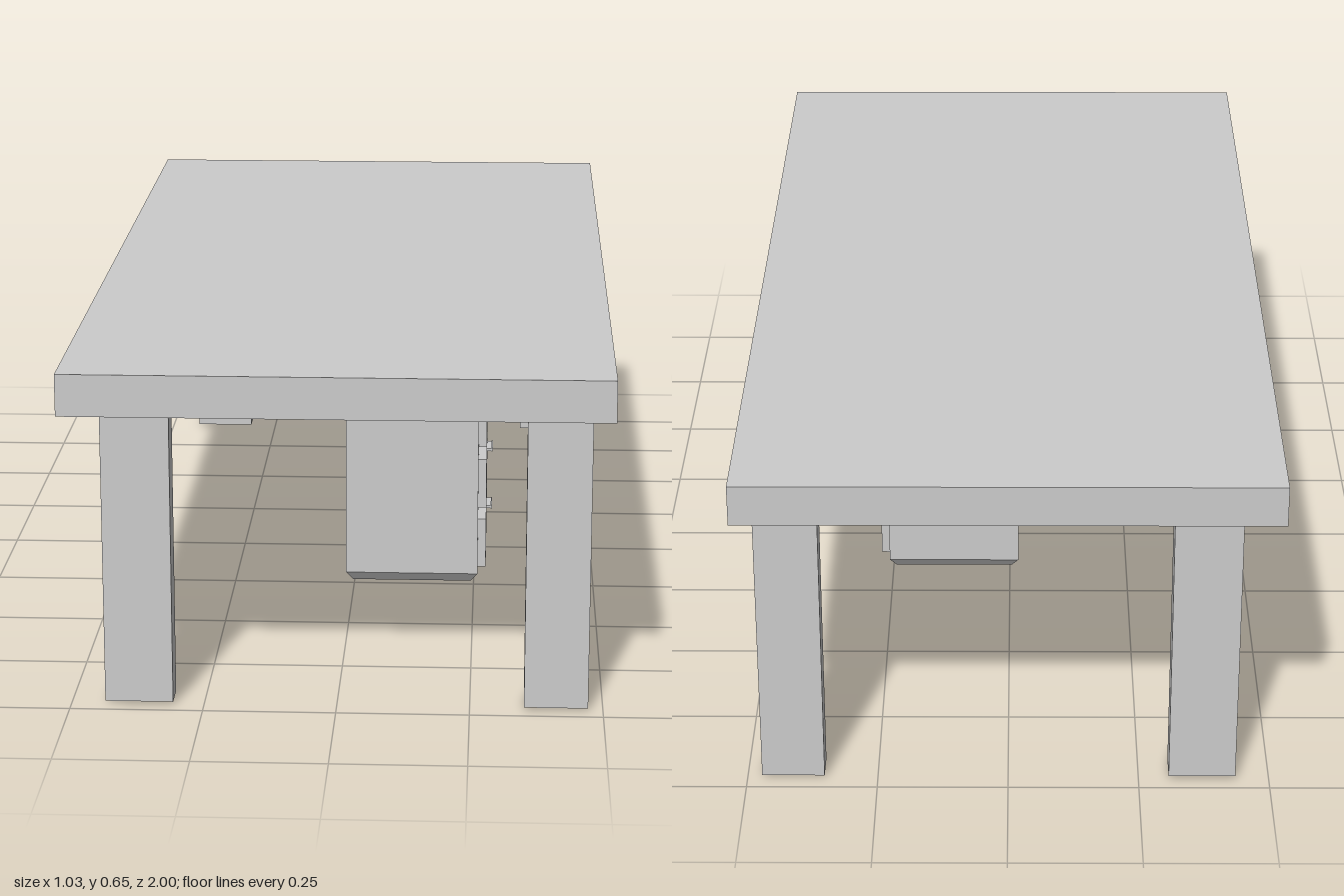
import * as THREE from 'three';

const material = new THREE.MeshStandardMaterial({ color: 0xcccccc, flatShading: true });

// Box given by its extents along each axis
function box(name, [x0, x1], [y0, y1], [z0, z1]) {
  const mesh = new THREE.Mesh(new THREE.BoxGeometry(x1 - x0, y1 - y0, z1 - z0), material);
  mesh.position.set((x0 + x1) / 2, (y0 + y1) / 2, (z0 + z1) / 2);
  mesh.name = name;
  return mesh;
}

export function createModel() {
  const desk = new THREE.Group();
  desk.name = 'desk';

  desk.add(box('tabletop', [-0.513, 0.513], [0.57, 0.65], [-1, 1]));

  // Four flat legs
  for (const x of [[-0.436, -0.308], [0.352, 0.472]]) {
    for (const z of [[0.915, 0.972], [-0.969, -0.91]]) {
      desk.add(box('leg', x, [0.006, 0.57], z));
    }
  }

  // Drawer cabinet, opening towards +x
  const cabinet = new THREE.Group();
  cabinet.name = 'drawerCabinet';
  cabinet.add(box('cabinetBody', [-0.018, 0.258], [0.02, 0.54], [-0.153, 0.242]));

  // Plinth tapering inwards to the floor
  const plinth = box('plinth', [-0.018, 0.258], [0, 0.02], [-0.153, 0.242]);
  const p = plinth.geometry.attributes.position;
  for (let i = 0; i < p.count; i++) {
    if (p.getY(i) < 0) {
      p.setX(i, p.getX(i) - Math.sign(p.getX(i)) * 0.014);
      p.setZ(i, p.getZ(i) - Math.sign(p.getZ(i)) * 0.014);
    }
  }
  plinth.geometry.computeVertexNormals();
  cabinet.add(plinth);

  // Drawer fronts, each with a small lipped pull: [bottom, pull height]
  for (const [y, h] of [[0.033, 0.114], [0.163, 0.241], [0.295, 0.371], [0.425, 0.513]]) {
    cabinet.add(
      box('drawerFront', [0.258, 0.275], [y, y + 0.105], [-0.142, 0.232]),
      box('drawerPull', [0.275, 0.284], [h - 0.003, h + 0.003], [0.014, 0.071]),
      box('pullLip', [0.284, 0.287], [h - 0.004, h + 0.004], [0.014, 0.071])
    );
  }
  desk.add(cabinet);
  return desk;
}
